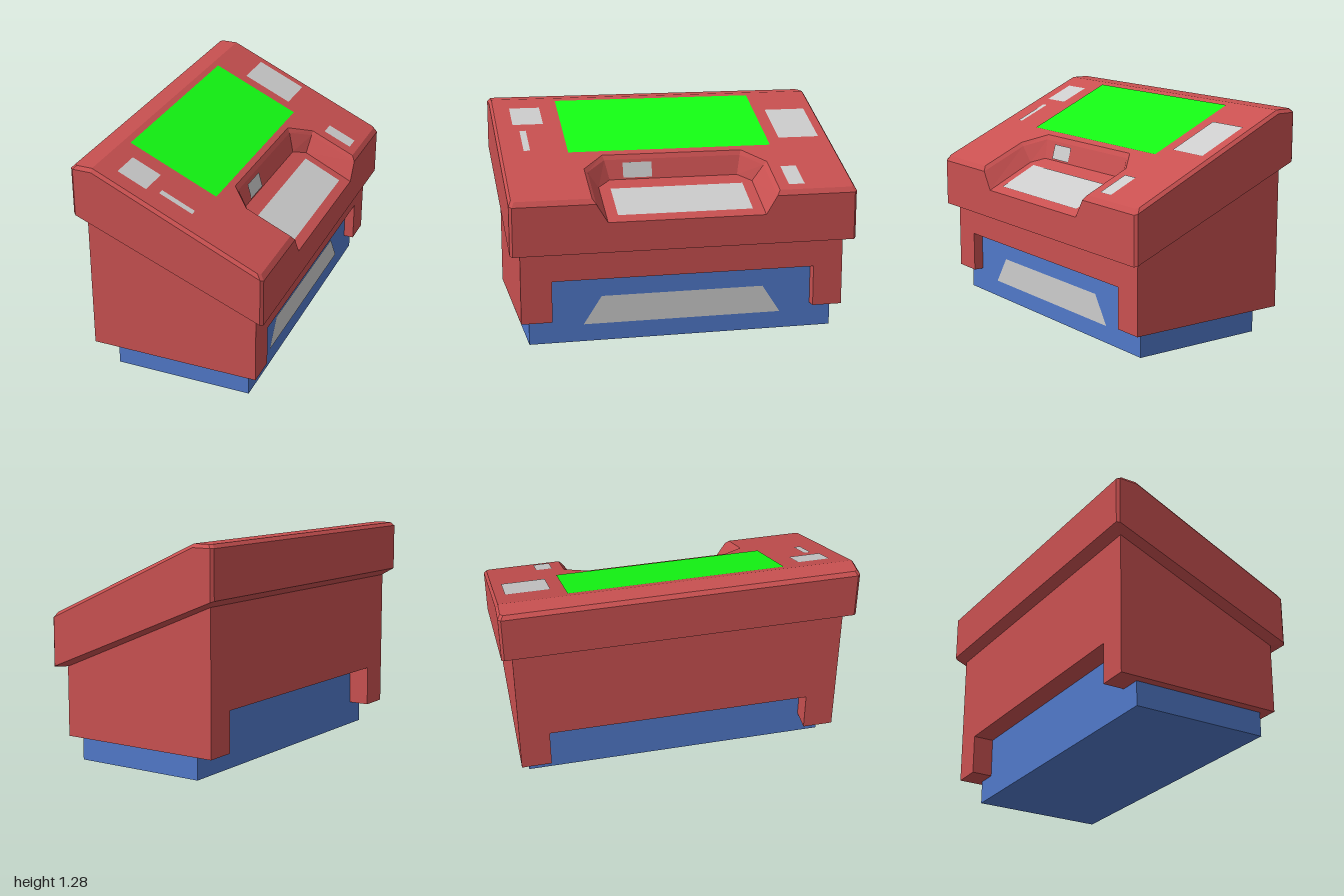
import * as THREE from 'three';

const material = (color) => new THREE.MeshStandardMaterial({ color, flatShading: true });

// Height rules along x (the console slopes down towards +x)
const topY = (x) => 1.28 - Math.max(0, x + 0.425) * 0.4555;
const floorY = (x) => 0.88 - (x - 0.2) * 0.486;
const rimY = (x) => 0.99 - (x + 0.55) * 0.409;
const bodyTopY = (x) => 0.54 + (0.49 - x) * 0.416;

// Plan outline with clipped corners and a notch in the +x edge; y follows a rule.
// notch = [z of side walls, x of corner, x of back wall, z of back corner]
function ring(x0, x1, z, c, notch, yRule) {
  const [nz, cx, bx, bz] = notch;
  const half = [
    [x0, z - c], [x0 + c, z], [-0.425, z], [x1 - c, z], [x1, z - c],
    [x1, nz], [cx, nz], [bx, bz],
  ];
  const mirrored = half.map(([x, pz]) => [x, -pz]).reverse();
  return [...half, ...mirrored].map(([x, pz]) => new THREE.Vector3(x, yRule(x), pz));
}

// Wall of quads between two rings
function band(a, b) {
  return a.flatMap((p, i) => {
    const j = (i + 1) % a.length;
    return [p, a[j], b[j], p, b[j], b[i]];
  });
}

// Upward facing cap, outline counter-clockwise seen from above
function cap(points) {
  const flat = points.map((p) => new THREE.Vector2(p.x, -p.z));
  return THREE.ShapeUtils.triangulateShape(flat, []).flatMap((t) => t.map((i) => points[i]));
}

function meshFrom(name, triangles, mat) {
  const geometry = new THREE.BufferGeometry().setFromPoints(triangles);
  geometry.computeVertexNormals();
  const mesh = new THREE.Mesh(geometry, mat);
  mesh.name = name;
  return mesh;
}

function quad(name, corners, mat) {
  const [a, b, c, d] = corners.map((p) => new THREE.Vector3(...p));
  return meshFrom(name, [a, b, c, a, c, d], mat);
}

export function createModel() {
  const model = new THREE.Group();
  const red = material(0xc85050);
  const blue = material(0x5078c8);
  const green = material(0x14ff14);
  const grey = material(0xcccccc);

  // Plinth
  const base = new THREE.Mesh(new THREE.BoxGeometry(0.8, 0.38, 1.78), blue);
  base.position.set(0.03, 0.19, 0);
  base.name = 'base';
  model.add(base);

  // Cabinet: arch-shaped section swept along x, top moved onto the slope
  const section = new THREE.Shape([
    [-0.94, 0.14], [-0.765, 0.14], [-0.765, 0.375], [0.765, 0.375],
    [0.765, 0.14], [0.94, 0.14], [0.94, 1], [-0.94, 1],
  ].map((p) => new THREE.Vector2(...p)));
  const cabinetGeometry = new THREE.ExtrudeGeometry(section, { depth: 0.985, bevelEnabled: false });
  cabinetGeometry.rotateY(Math.PI / 2).translate(-0.495, 0, 0);
  const pos = cabinetGeometry.attributes.position;
  for (let i = 0; i < pos.count; i++) {
    if (pos.getY(i) > 0.5) pos.setY(i, bodyTopY(pos.getX(i)));
  }
  cabinetGeometry.computeVertexNormals();
  const cabinet = new THREE.Mesh(cabinetGeometry, red);
  cabinet.name = 'cabinet';
  model.add(cabinet);

  // Console head: lower half is plain, upper half is notched for the tray
  const inner = ring(-0.495, 0.49, 0.94, 0.005, [0.455, 0.49, 0.49, 0.38], bodyTopY);
  const under = ring(-0.55, 0.55, 1, 0.015, [0.455, 0.55, 0.55, 0.38], rimY);
  const middle = ring(-0.55, 0.55, 1, 0.015, [0.455, 0.55, 0.55, 0.38], floorY);
  const tray = ring(-0.55, 0.55, 1, 0.015, [0.455, 0.26, 0.2, 0.38], floorY);
  const shoulder = ring(-0.55, 0.55, 1, 0.015, [0.52, 0.27, 0.167, 0.405], (x) => topY(x) - 0.02);
  const crown = ring(-0.53, 0.53, 0.985, 0.015, [0.54, 0.27, 0.152, 0.415], topY);
  model.add(meshFrom('consoleHead', [
    ...band(inner, under), ...band(under, middle),
    ...band(tray, shoulder), ...band(shoulder, crown),
    ...cap(crown.filter((p) => p.x <= -0.425)),
    ...cap(crown.filter((p) => p.x >= -0.425)),
  ], red));
  model.add(meshFrom('trayFloor', cap(tray.slice(5, 11).reverse()), red));

  // Flat panels lying on the sloped surfaces
  const addPanel = (name, x0, x1, z0, z1, rule, mat) => {
    const y0 = rule(x0) + 0.004;
    const y1 = rule(x1) + 0.004;
    model.add(quad(name, [[x0, y0, z1], [x1, y1, z1], [x1, y1, z0], [x0, y0, z0]], mat));
  };
  addPanel('screen', -0.39, 0.12, -0.605, 0.605, topY, green);
  addPanel('largeRightPanel', -0.23, 0.055, -0.93, -0.68, topY, grey);
  addPanel('smallRightPanel', 0.325, 0.49, -0.7, -0.605, topY, grey);
  addPanel('leftPanel', -0.325, -0.16, 0.71, 0.89, topY, grey);
  addPanel('leftSlot', -0.1, 0.09, 0.82, 0.857, topY, grey);
  addPanel('keyboard', 0.28, 0.5, -0.39, 0.39, floorY, grey);

  // Small panel on the back wall of the tray
  model.add(quad('trayWallPanel', [
    [0.203, 0.89, 0.3], [0.203, 0.89, 0.13], [0.18, 0.975, 0.13], [0.18, 0.975, 0.3],
  ], grey));

  // Trapezoid panel on the plinth
  model.add(quad('basePanel', [
    [0.434, 0.1, 0.58], [0.434, 0.1, -0.58], [0.434, 0.26, -0.475], [0.434, 0.26, 0.475],
  ], grey));

  return model;
}
